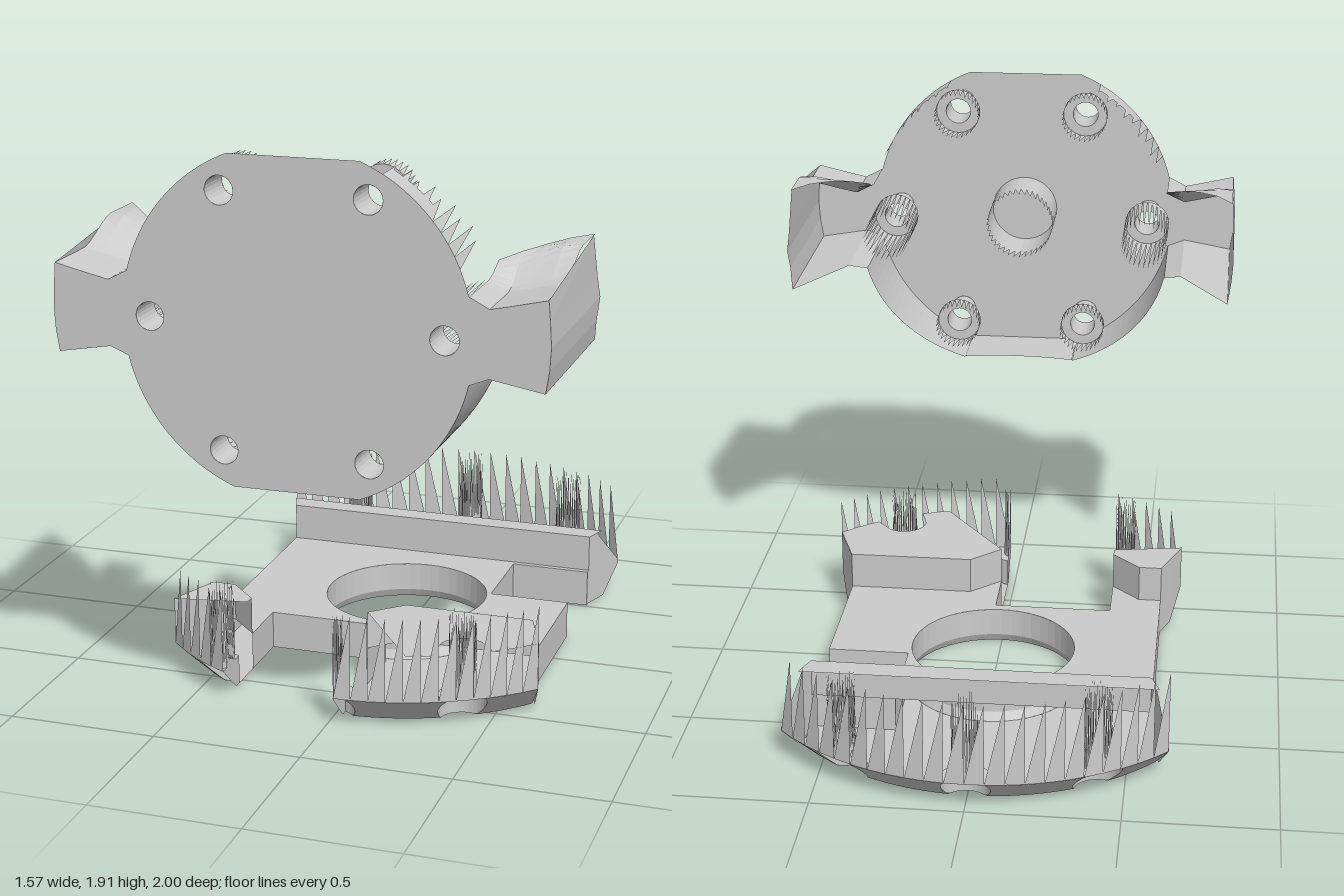
import * as THREE from 'three';

const C = -0.12, PI = Math.PI, BOSS = 0.83, BORE = 0.08, HOLE = 0.045;
const mat = new THREE.MeshStandardMaterial({ color: 0xcccccc, side: THREE.DoubleSide });

export function createModel() {
  const root = new THREE.Group();
  root.add(makeBase(), makeCover());
  return root;
}

// ---------- helpers ----------
function add(group, name, geo) {
  const m = new THREE.Mesh(geo, mat);
  m.name = name;
  group.add(m);
}
function fromTriangles(points) {
  const g = new THREE.BufferGeometry();
  g.setAttribute('position', new THREE.Float32BufferAttribute(points.flat(), 3));
  g.computeVertexNormals();
  return g;
}
// ruled sheet through two or more rows of points
function sheet(...rows) {
  const t = [];
  for (let j = 0; j + 1 < rows.length; j++)
    for (let i = 0; i + 1 < rows[j].length; i++) {
      const a = rows[j][i], b = rows[j][i + 1], c = rows[j + 1][i + 1], d = rows[j + 1][i];
      t.push(a, b, c, a, c, d);
    }
  return fromTriangles(t);
}
// torn edge: one pointed sliver for each step of the lower row
function teeth(low, high) {
  const t = [];
  for (let i = 0; i + 1 < low.length; i++) t.push(low[i], low[i + 1], high[i + 1]);
  return fromTriangles(t);
}
const steps = (n, a, b, f) => Array.from({ length: n + 1 }, (_, i) => f(a + (b - a) * i / n));
const wall = (pts, y0, y1) => sheet(pts.map(([x, z]) => [x, y0, z]), pts.map(([x, z]) => [x, y1, z]));
function face(pts, holes = []) {
  const s = new THREE.Shape(pts.map(p => new THREE.Vector2(...p)));
  for (const [x, y, r] of holes) s.holes.push(new THREE.Path().absarc(x, y, r, 0, 2 * PI, true));
  return new THREE.ShapeGeometry(s, 32);
}
const flat = (pts, y, holes) => face(pts, holes).rotateX(PI / 2).translate(0, y, 0);

// ---------- base plate ----------
const polar = (r, a) => [r * Math.sin(a), C + r * Math.cos(a)];
const polarY = (r, a, y) => [r * Math.sin(a), y, C + r * Math.cos(a)];
// radius of the rim at an angle, bitten into by the screw bores
function bitten(r, a) {
  const d = a - Math.round(a / (PI / 6)) * PI / 6, k = BORE ** 2 - (BOSS * Math.sin(d)) ** 2;
  const near = Math.abs(Math.round(a / (PI / 6))) % 6 < 2 || Math.abs(Math.round(a / (PI / 6))) === 5;
  return near && k > 0 ? Math.min(r, BOSS * Math.cos(d) - Math.sqrt(k)) : r;
}
const rim = (r, a, b, n = 60) => steps(n, a, b, t => polar(bitten(r, t), t));
const biteWidth = r => Math.acos((r * r + BOSS ** 2 - BORE ** 2) / (2 * r * BOSS));
const endAngle = r => 0.866 - (r - 0.78) * 0.56;

function makeBase() {
  const g = new THREE.Group();
  g.name = 'base';
  const rightSide = [[0.57, 0.3], [0.57, -0.2], [0.29, -0.2], [0.29, -0.51], [0.57, -0.51], [0.57, -0.53]];
  const slot = [[-0.39, 0.4], [-0.39, 0.2], [0.025, 0.2], [0.025, 0.4]];
  const rightStep = [[0.57, 0.3], [0.13, 0.3], [0.025, 0.4]];
  const leftStep = [[-0.57, 0.3], [-0.49, 0.3], [-0.39, 0.4]];

  // underside and plate top
  add(g, 'underside', flat([
    ...rim(0.78, 0.033, 0.866), ...rightSide, ...rim(0.78, PI - 0.866, PI + 0.866, 120),
    [-0.57, -0.53], [-0.57, 0.3],
    ...rim(0.78, -0.866, -0.524).map(([x, z]) => [Math.min(x, -0.39), z]),
    [-0.39, 0.2], [0.025, 0.2]], 0, [[0, C, 0.3]]));
  add(g, 'plateTop', flat([
    ...rightSide, [-0.57, -0.53], ...leftStep, ...slot, [0.13, 0.3]], 0.13, [[0, C, 0.285]]));
  add(g, 'centreHole', sheet(...[[0.3, 0], [0.285, 0.03], [0.285, 0.13]]
    .map(([r, y]) => steps(48, 0, 2 * PI, a => polarY(r, a, y)))));

  // plate walls
  add(g, 'plateSideLeft', wall(rightSide, 0, 0.13));
  add(g, 'plateSideRight', wall([[-0.57, 0.3], [-0.57, -0.53]], 0, 0.13));
  add(g, 'slotWall', wall(slot, 0, 0.13));

  // raised steps and what is left of their tops
  add(g, 'stepFrontLeft', wall(rightStep, 0.13, 0.26));
  add(g, 'stepFrontRight', wall(leftStep, 0.13, 0.26));
  add(g, 'stepBack', wall([[-0.57, -0.53], [0.57, -0.53]], 0.13, 0.26));
  add(g, 'topBack', flat([[-0.57, -0.53], [0.57, -0.53], [0.6, -0.61], [-0.6, -0.61]], 0.26));
  add(g, 'topFrontLeft', flat([...rim(0.88, 0.3, 0.81), ...rightStep], 0.26));
  add(g, 'topFrontRight', flat([...leftStep, [-0.39, 0.44], [-0.64, 0.485]], 0.26));
  for (const s of [1, -1]) {
    add(g, 'endFront', sheet(
      [[s * 0.57, 0, 0.3], [s * 0.604, 0, 0.39], [s * 0.638, 0.1, 0.485]],
      [[s * 0.57, 0.26, 0.3], [s * 0.604, 0.26, 0.39], [s * 0.638, 0.26, 0.485]]));
    add(g, 'endBack', sheet(
      [[s * 0.57, 0, -0.53], [s * 0.587, 0, -0.58], [s * 0.604, 0, -0.63], [s * 0.638, 0.1, -0.727]],
      [[s * 0.57, 0.26, -0.53], [s * 0.587, 0.26, -0.58], [s * 0.604, 0.208, -0.63], [s * 0.638, 0.11, -0.727]]));
  }

  // bevelled rim between the screw bores
  const q = PI / 6, w = biteWidth, E = endAngle;
  const spans = [
    [r => PI - E(r), r => PI - q - w(r)], [r => PI - q + w(r), r => PI - w(r)],
    [r => PI + w(r), r => PI + q - w(r)], [r => PI + q + w(r), r => PI + E(r)],
    [r => -E(r), r => -q - w(r)], [w, r => q - w(r)], [r => q + w(r), E]];
  for (const [from, to] of spans)
    add(g, 'bevel', sheet(...steps(6, 0.78, 0.88, r => steps(14, from(r), to(r), a => polarY(r, a, r - 0.78)))));

  // torn outer wall
  for (const [a, b, n] of [[PI - 0.81, PI + 0.81, 22], [-0.81, -0.46, 5], [0.03, 0.81, 12]])
    add(g, 'tornWall', teeth(steps(n, a, b, t => polarY(0.88, t, 0.1)), steps(n, a, b, t => polarY(0.88, t, 0.39))));

  // screw bores with their seats and torn sleeves
  const any = x => x;
  const bosses = [[PI - q, any], [PI, any], [PI + q, any], [q, any],
    [-q, x => Math.min(x, -0.39)], [0, x => Math.max(x, 0.025)]];
  for (const [a, clip] of bosses) {
    const [cx, cz] = polar(BOSS, a);
    const ring = (r, y) => steps(32, 0, 2 * PI, t => {
      let x = clip(cx + r * Math.cos(t)), z = cz + r * Math.sin(t);
      const d = Math.hypot(x, z - C), k = Math.min(1, 0.88 / d);
      x *= k; z = C + (z - C) * k;
      return [x, y ?? Math.min(0.1, Math.max(0, d * k - 0.78)), z];
    });
    add(g, 'screwBore', sheet(ring(BORE), ring(BORE, 0.1)));
    add(g, 'screwSeat', sheet(ring(BORE, 0.1), ring(HOLE, 0.1)));
    add(g, 'tornSleeve', teeth(ring(HOLE, 0.1), ring(HOLE, 0.39)));
  }
  return g;
}

// ---------- upright cover ----------
const CY = 1.395, CR = 0.555;
const backZ = x => C + Math.sqrt(0.91 ** 2 - x * x);

function makeCover() {
  const g = new THREE.Group();
  g.name = 'cover';
  const onDisc = t => [CR * Math.cos(t), CY + CR * Math.sin(t)];
  const lower = steps(20, -1.2, -0.235, onDisc), upper = steps(20, 0.25, 1.19, onDisc);
  const earLow = [lower[20], [0.6, 1.29], [0.77, 1.26]];
  const earSide = [[0.77, 1.26], [0.781, 1.33], [0.785, 1.4], [0.781, 1.47], [0.775, 1.54]];
  const earTop = [[0.775, 1.54], [0.72, 1.527], [0.66, 1.513], [0.6, 1.5], upper[0]];
  const half = [...lower, ...earLow.slice(1), ...earSide.slice(1), ...earTop.slice(1), ...upper.slice(1)];
  const flip = ([x, y]) => [-x, y];

  // front face with its ring of screw holes
  const screws = steps(5, 0, 5 * PI / 3, t => [0.465 * Math.cos(t), CY + 0.465 * Math.sin(t)]);
  add(g, 'frontFace', face([...half, ...half.map(flip).reverse()],
    screws.map(p => [...p, HOLE])).translate(0, 0, 1));

  // walls running back to the concave seat
  const skirt = pts => sheet(pts.map(([x, y]) => [x, y, 1]), pts.map(([x, y]) => [x, y, backZ(x)]));
  add(g, 'bottomWall', skirt(steps(8, -0.2, 0.2, x => [x, 0.88])));
  for (const s of [1, -1]) {
    const side = pts => pts.map(([x, y]) => [s * x, y]);
    add(g, 'lowerWall', skirt(side(lower)));
    add(g, 'earBottom', skirt(side(earLow)));
    // outer ear wall, torn shorter towards the top
    const outer = side(earSide);
    add(g, 'earSide', sheet(outer.map(([x, y]) => [x, y, 1]),
      outer.map(([x, y], i) => [x, y + (i === 4 ? 0.07 : 0), backZ(x) + [0, 0.05, 0.03, 0.05, 0.08][i]])));
    // ear top sweeping upwards to the back
    add(g, 'earTop', sheet(...steps(14, 0, 1, v => side(earTop).map(([x, y], i) => {
      const z = 1 + (backZ(x) + 0.06 - 1) * v;
      const lift = THREE.MathUtils.smoothstep(0.8 - z, 0, 0.22);
      return [x, y + lift * [0.07, 0.085, 0.09, 0.1, 0.06][i], z];
    }))));
    // torn upper wall
    const edge = side(steps(9, 0.4, 1.05, onDisc));
    add(g, 'tornUpperWall', teeth(edge.map(([x, y]) => [x, y, 1]),
      edge.map(([x, y], i) => [x, y, backZ(x) + 0.08 + 0.05 * (i % 2)])));
    const patch = side(steps(5, 0.74, 1.03, onDisc));
    add(g, 'upperWallPatch', sheet(patch.map(([x, y]) => [x, y, 1]), patch.map(([x, y]) => [x, y, 0.91])));
  }

  // screw sleeves with torn counterbores
  const ring = (x, y, r, z, n) => steps(n, 0, 2 * PI, t => [x + r * Math.cos(t), y + r * Math.sin(t), z]);
  for (const [x, y] of screws) {
    const tip = backZ(x) + (Math.abs(x) > 0.4 ? -0.1 : 0.01);
    add(g, 'screwSleeve', sheet(ring(x, y, HOLE, 1, 24), ring(x, y, HOLE, 0.86, 24)));
    add(g, 'counterboreSeat', sheet(ring(x, y, HOLE, 0.86, 24), ring(x, y, BORE, 0.86, 24)));
    add(g, 'tornCounterbore', teeth(ring(x, y, BORE, 0.86, 28), ring(x, y, BORE, tip, 28)));
  }
  // central pocket
  add(g, 'centrePocket', sheet(ring(0, CY, 0.12, 1, 36), ring(0, CY, 0.12, 0.84, 36)));
  add(g, 'tornPocketEdge', teeth(ring(0, CY, 0.12, 0.84, 36), ring(0, CY, 0.12, 0.77, 36)));
  return g;
}
